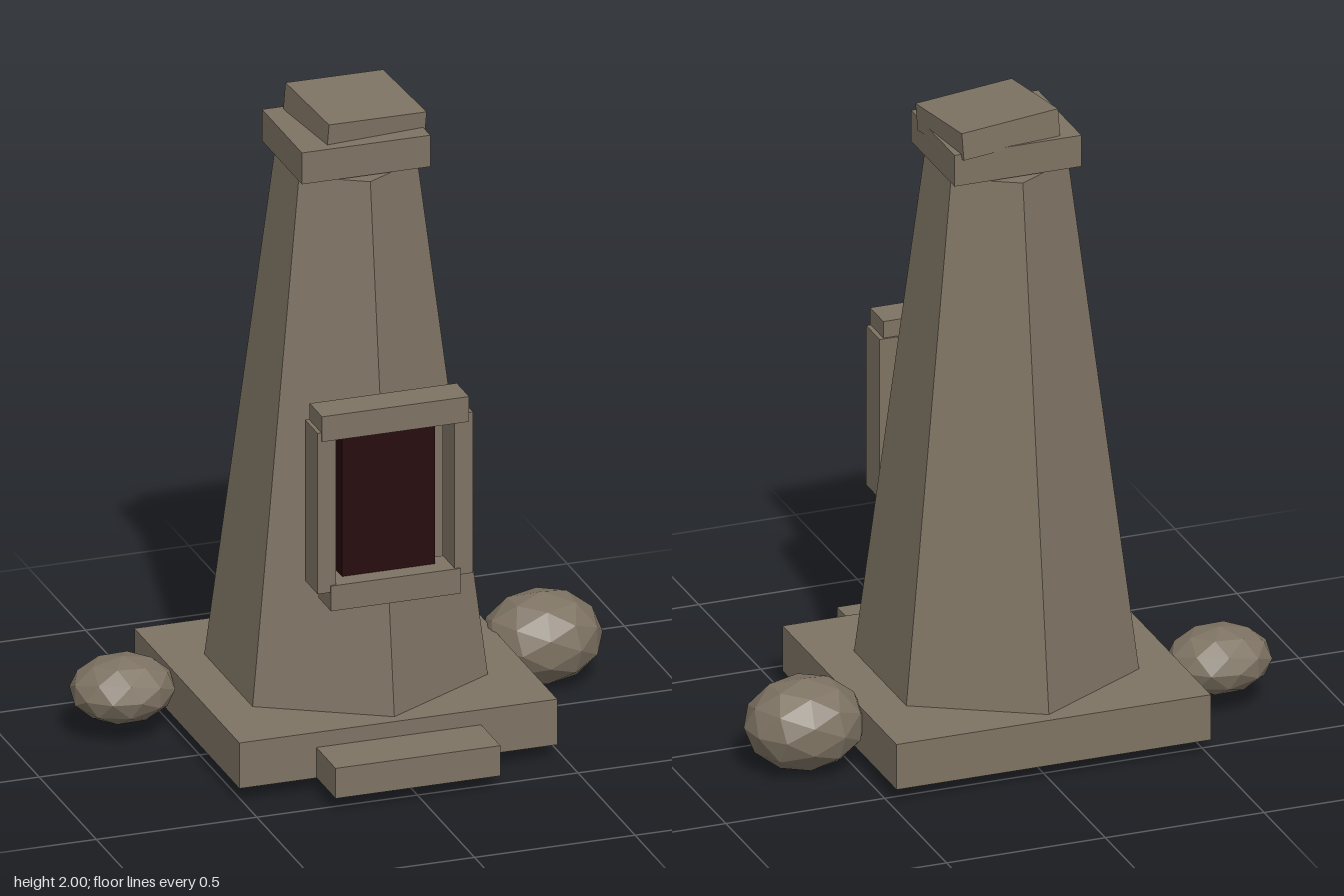
import * as THREE from 'three';

export function createModel() {
  const model = new THREE.Group();
  model.name = 'stoneTower';

  const stone = new THREE.MeshStandardMaterial({ color: 0x7e7363, flatShading: true });
  stone.name = 'weathered stone';
  const dark = new THREE.MeshStandardMaterial({ color: 0x260b0c, flatShading: true });
  dark.name = 'dark red opening';

  const add = (name, geometry, material, parent = model) => {
    const mesh = new THREE.Mesh(geometry, material);
    mesh.name = name;
    parent.add(mesh);
    return mesh;
  };

  // Box given by its extents on each axis
  const block = (name, [x0, x1], [y0, y1], [z0, z1], material = stone, parent = model) => {
    const mesh = add(name, new THREE.BoxGeometry(x1 - x0, y1 - y0, z1 - z0), material, parent);
    mesh.position.set((x0 + x1) / 2, (y0 + y1) / 2, (z0 + z1) / 2);
    return mesh;
  };

  // Plinth and front step
  block('plinth', [-0.51, 0.48], [0.045, 0.19], [-0.545, 0.375]);
  block('step', [-0.27, 0.243], [0.046, 0.142], [0.3, 0.543]);

  // Tapered six-sided shaft, one edge facing the front
  const shaft = add('shaft', new THREE.CylinderGeometry(0.213, 0.423, 1.62, 6), stone);
  shaft.position.set(-0.015, 1.0, -0.083);

  // Cap and the crooked slab resting on it
  block('cap', [-0.215, 0.185], [1.815, 1.915], [-0.257, 0.093]);
  const slab = add('crookedSlab', new THREE.BoxGeometry(0.318, 0.085, 0.3), stone);
  slab.position.set(0.02, 1.94, -0.103);
  slab.rotation.set(0.07, 0.1, -0.05, 'YXZ');

  // Window: dark panel set into a projecting frame
  const opening = new THREE.Group();
  opening.name = 'window';
  model.add(opening);
  block('windowPanel', [-0.16, 0.13], [0.622, 1.122], [0.205, 0.29], dark, opening);
  block('lintel', [-0.243, 0.215], [1.1, 1.18], [0.24, 0.348], stone, opening);
  block('sill', [-0.215, 0.188], [0.557, 0.637], [0.24, 0.348], stone, opening);
  for (const side of [-1, 1]) {
    const x = -0.013 + side * 0.2135;
    block(side < 0 ? 'rightPost' : 'leftPost', [x - 0.0285, x + 0.0285],
      [0.615, 1.127], [0.234, 0.343], stone, opening);
  }

  // Squashed faceted boulders on both sides
  const boulder = (name, position, radii, turn) => {
    const geometry = new THREE.IcosahedronGeometry(1, 1);
    geometry.rotateY(turn).scale(...radii);
    add(name, geometry, stone).position.set(...position);
  };
  boulder('leftBoulder', [0.635, 0.143, -0.197], [0.183, 0.141, 0.165], 0.4);
  boulder('rightBoulder', [-0.662, 0.15, -0.223], [0.16, 0.101, 0.139], 1.1);

  return model;
}
